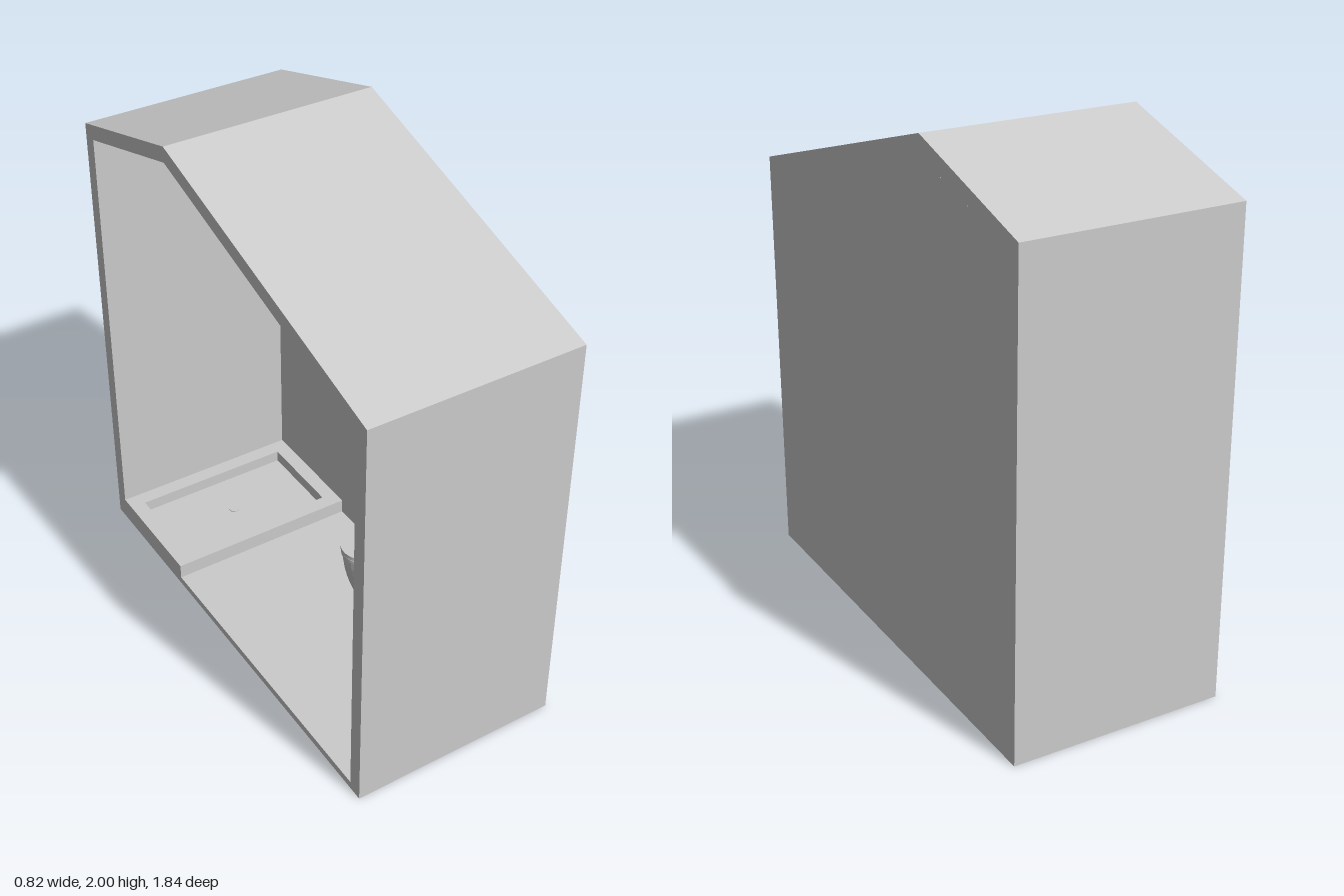
import * as THREE from 'three';

const grey = new THREE.MeshStandardMaterial({ color: 0xcccccc });

export function createModel() {
  const root = new THREE.Group();

  const add = (name, geometry, x = 0, y = 0, z = 0) => {
    const mesh = new THREE.Mesh(geometry, grey);
    mesh.name = name;
    mesh.position.set(x, y, z);
    root.add(mesh);
    return mesh;
  };
  const toPoints = (list) => list.map(([a, b]) => new THREE.Vector2(-a, b));

  // Extrude a [z, y] outline along x; the hole runs the opposite way round
  const alongX = (outline, x0, x1, hole) => {
    const shape = new THREE.Shape(toPoints(outline));
    if (hole) shape.holes.push(new THREE.Path(toPoints(hole).reverse()));
    return new THREE.ExtrudeGeometry(shape, { depth: x1 - x0, bevelEnabled: false })
      .rotateY(Math.PI / 2).translate(x0, 0, 0);
  };
  // Extrude a plan shape (x, -z) upwards
  const upwards = (shape, y0, y1, steps = 1) =>
    new THREE.ExtrudeGeometry(shape, { depth: y1 - y0, bevelEnabled: false, steps })
      .rotateX(-Math.PI / 2).translate(0, y0, 0);

  // Room shell: hollow house profile closed by one side wall
  const outer = [[0.922, 0], [0.922, 1.626], [-0.307, 2], [-0.922, 1.817], [-0.922, 0]];
  const inner = [[0.865, 0.03], [0.865, 1.583], [-0.307, 1.94], [-0.865, 1.774], [-0.865, 0.03]];
  add('roomShell', alongX(outer, -0.412, 0.355, inner));
  add('sideWall', alongX(outer, 0.355, 0.412));

  // Shower tray with a sunken floor
  const rect = (Type, x0, x1, z0, z1) => new Type([[x0, z0], [x1, z0], [x1, z1], [x0, z1]]
    .map(([x, z]) => new THREE.Vector2(x, -z)));
  const tray = rect(THREE.Shape, -0.412, 0.355, -0.865, -0.38);
  tray.holes.push(rect(THREE.Path, -0.35, 0.295, -0.44, -0.805));
  add('showerTrayRim', upwards(tray, 0.03, 0.09));
  add('showerTrayFloor', new THREE.BoxGeometry(0.645, 0.012, 0.365), -0.0275, 0.036, -0.6225);
  add('showerDrain', new THREE.CylinderGeometry(0.02, 0.02, 0.004, 20), -0.0275, 0.044, -0.6225);

  // Ceiling shower panel with two mounting pins in the side wall
  const panel = add('showerPanel', new THREE.BoxGeometry(0.18, 0.012, 0.18), 0.02, 1.855, -0.535);
  panel.rotation.x = -Math.atan(0.29);
  for (const [z, y] of [[-0.45, 1.89], [-0.62, 1.845]]) {
    add('mountingPin', new THREE.CylinderGeometry(0.004, 0.004, 0.34, 8).rotateZ(Math.PI / 2), 0.243, y, z);
  }

  // Toilet: D-shaped plan, straight at the wall and round at the tip
  const dShape = (tip, half) => {
    const shape = new THREE.Shape();
    shape.moveTo(0.355, -half);
    shape.lineTo(0.355, half);
    shape.lineTo(0.2, half);
    shape.absellipse(0.2, 0, 0.2 - tip, half, Math.PI / 2, Math.PI * 1.5, false);
    return shape;
  };
  const toiletZ = 0.1;
  const bowl = upwards(dShape(0.062, 0.105), 0, 0.24, 6);
  const p = bowl.attributes.position;
  for (let i = 0; i < p.count; i++) {
    // taper towards the foot
    const k = 1 - 0.22 * (1 - p.getY(i) / 0.24) ** 1.8;
    p.setX(i, 0.355 + (p.getX(i) - 0.355) * k);
    p.setZ(i, p.getZ(i) * k);
  }
  bowl.computeVertexNormals();
  add('toiletBowl', bowl, 0, 0.03, toiletZ);
  add('toiletSeat', upwards(dShape(0.055, 0.11), 0, 0.014), 0, 0.272, toiletZ);
  add('toiletLid', upwards(dShape(0.053, 0.112), 0, 0.016), 0, 0.29, toiletZ);

  // Wash basin: slab with a curved scoop and a flat ledge at the wall
  const scoop = [[0.375, 0.38], [0.375, 0.462]];
  for (let i = 0; i <= 20; i++) {
    const t = i / 20;
    scoop.push([0.4 + 0.415 * t, 0.462 - 0.06 * Math.sin(Math.PI * t)]);
  }
  scoop.push([0.83, 0.462], [0.83, 0.38]);
  add('basinScoop', alongX(scoop, 0.1, 0.29));
  add('basinLedge', new THREE.BoxGeometry(0.065, 0.082, 0.455), 0.3225, 0.421, 0.6025);
  add('basinDrain', new THREE.CylinderGeometry(0.012, 0.012, 0.006, 16), 0.2, 0.404, 0.605);

  // Tap
  add('tapBody', new THREE.CylinderGeometry(0.011, 0.011, 0.09, 16), 0.32, 0.507, 0.6);
  add('tapSpout', new THREE.CylinderGeometry(0.007, 0.007, 0.05, 12).rotateZ(Math.PI / 2), 0.295, 0.522, 0.6);

  return root;
}
